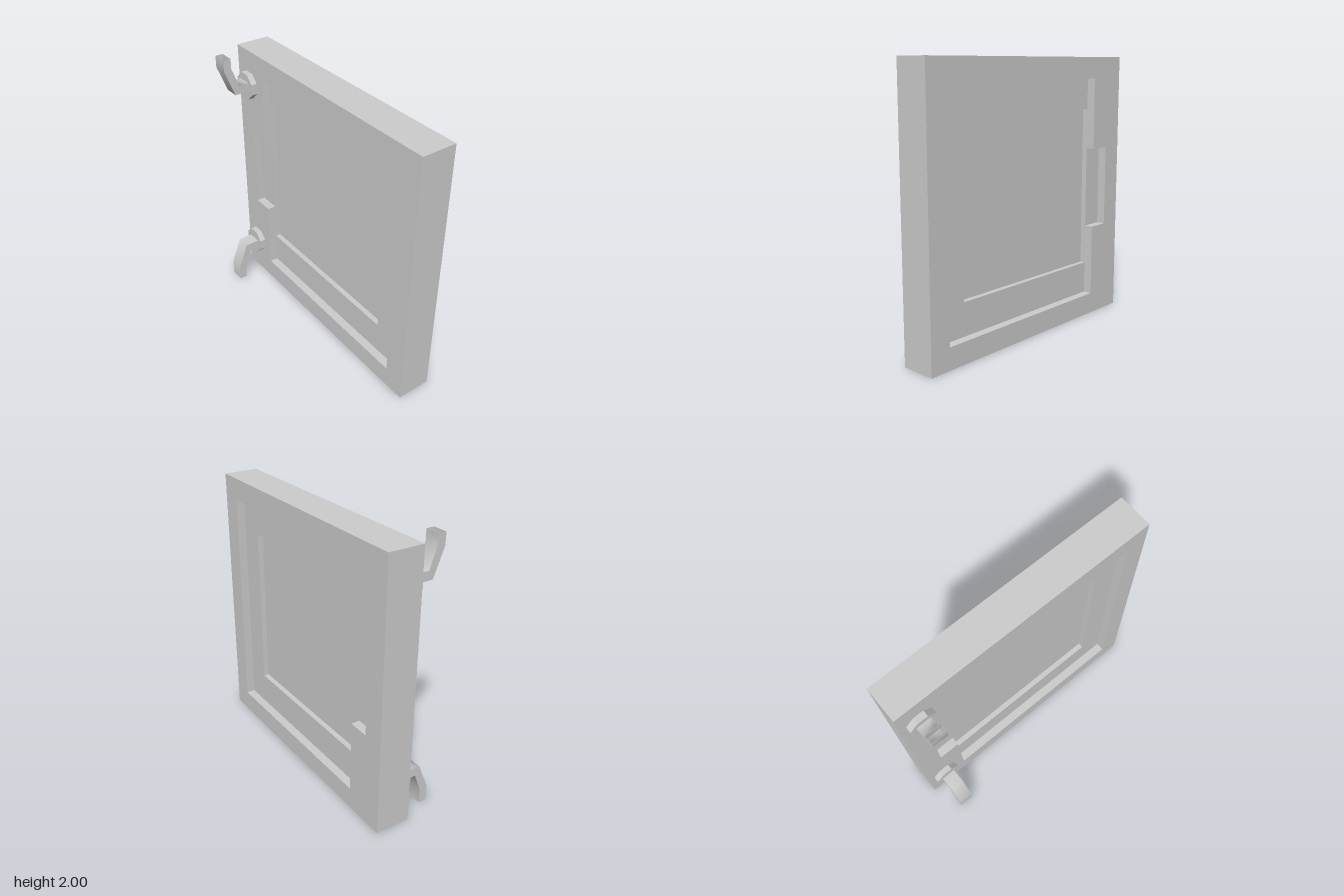
import * as THREE from 'three';

const material = new THREE.MeshStandardMaterial({ color: 0xcccccc, side: THREE.DoubleSide });

function addMesh(parent, name, geometry) {
  const mesh = new THREE.Mesh(geometry, material);
  mesh.name = name;
  parent.add(mesh);
  return mesh;
}

// Surface between two polylines of [x, y, z] points, smooth along its length
function strip(a, b) {
  const index = [];
  for (let i = 0; i < a.length - 1; i++) {
    const j = a.length + i;
    index.push(i, i + 1, j, i + 1, j + 1, j);
  }
  const geometry = new THREE.BufferGeometry();
  geometry.setAttribute('position', new THREE.Float32BufferAttribute([...a, ...b].flat(), 3));
  geometry.setIndex(index);
  geometry.computeVertexNormals();
  return geometry;
}

const rect = (x0, y0, x1, y1) => [[x0, y0], [x1, y0], [x1, y1], [x0, y1]];
const toVectors = (points) => points.map(([x, y]) => new THREE.Vector2(x, y));

function addFace(parent, name, points, z, hole) {
  const shape = new THREE.Shape(toVectors(points));
  if (hole) shape.holes.push(new THREE.Path(toVectors(hole)));
  addMesh(parent, name, new THREE.ShapeGeometry(shape)).position.z = z;
}

// One flat wall per edge of a closed outline; faces inward when z0 > z1
function addWalls(parent, name, points, z0, z1) {
  points.forEach((p, i) => {
    const q = points[(i + 1) % points.length];
    addMesh(parent, name, strip([[...p, z0], [...q, z0]], [[...p, z1], [...q, z1]]));
  });
}

const HALF = 0.13; // half the door thickness
const LEDGE = 0.065; // depth of the first step
const FLOOR = 0.105; // depth of the second step

// Stepped recess with its side notch, on one face of the door
function createRecessedFace(mirrored) {
  const side = new THREE.Group();
  side.name = mirrored ? 'backFace' : 'frontFace';
  const m = (points) => (mirrored ? points.map(([x, y]) => [-x, y]).reverse() : points);
  const recess = m([[-0.68, 0.16], [0.84, 0.16], [0.84, 1.84], [-0.68, 1.84],
    [-0.68, 1.31], [-0.84, 1.31], [-0.84, 0.7], [-0.68, 0.7]]);
  const ledge = m([[-0.68, 0.16], [0.84, 0.16], [0.84, 1.84], [-0.68, 1.84],
    [-0.68, 1.61], [0.645, 1.61], [0.645, 0.4], [-0.68, 0.4]]);
  const panel = m(rect(-0.68, 0.4, 0.645, 1.61));
  addFace(side, 'frame', rect(-1, 0, 1, 2), HALF, recess);
  addWalls(side, 'recessWall', recess, HALF, HALF - LEDGE);
  addFace(side, 'ledge', ledge, HALF - LEDGE);
  addFace(side, 'notchFloor', m(rect(-0.84, 0.7, -0.68, 1.31)), HALF - LEDGE);
  addWalls(side, 'panelWall', panel, HALF - LEDGE, HALF - FLOOR);
  addFace(side, 'panel', panel, HALF - FLOOR);
  if (mirrored) side.rotation.y = Math.PI;
  return side;
}

// Octagonal flange with a bent open pipe; up flips it for the top of the door
function createHinge(up) {
  const hinge = new THREE.Group();
  hinge.name = up ? 'upperHinge' : 'lowerHinge';
  const shift = up ? -0.035 : 0;
  const place = (y) => (up ? 2 - y : y);

  const flange = new THREE.CylinderGeometry(0.106, 0.106, 0.045, 8);
  flange.rotateY(Math.PI / 8).rotateX(Math.PI / 2);
  const mesh = addMesh(hinge, 'flange', flange.toNonIndexed());
  mesh.geometry.computeVertexNormals();
  mesh.position.set(-0.855, place(0.3 + shift), 0.0325);

  // Outer and inner side lines of the pipe as [z, y]
  const outer = [[0.05, 0.323 + shift], [0.168, 0.323 + shift], [0.248, 0.12 + shift], [0.248, 0]];
  const inner = [[0.05, 0.258 + shift], [0.133, 0.258 + shift], [0.188, 0.11 + shift], [0.188, 0]];
  const line = (points, x) => points.map(([z, y]) => [x, place(y), z]);
  const corners = [line(outer, -0.91), line(outer, -0.8), line(inner, -0.8), line(inner, -0.91)];
  corners.forEach((c, i) => {
    const next = corners[(i + 1) % 4];
    addMesh(hinge, 'pipeSide', up ? strip(next, c) : strip(c, next));
  });
  return hinge;
}

export function createModel() {
  const model = new THREE.Group();
  model.name = 'door';

  const leaf = new THREE.Group();
  leaf.name = 'doorLeaf';
  leaf.position.z = -0.12;
  addWalls(leaf, 'doorEdge', rect(-1, 0, 1, 2), -HALF, HALF);
  leaf.add(createRecessedFace(false), createRecessedFace(true));

  model.add(leaf, createHinge(false), createHinge(true));
  return model;
}
